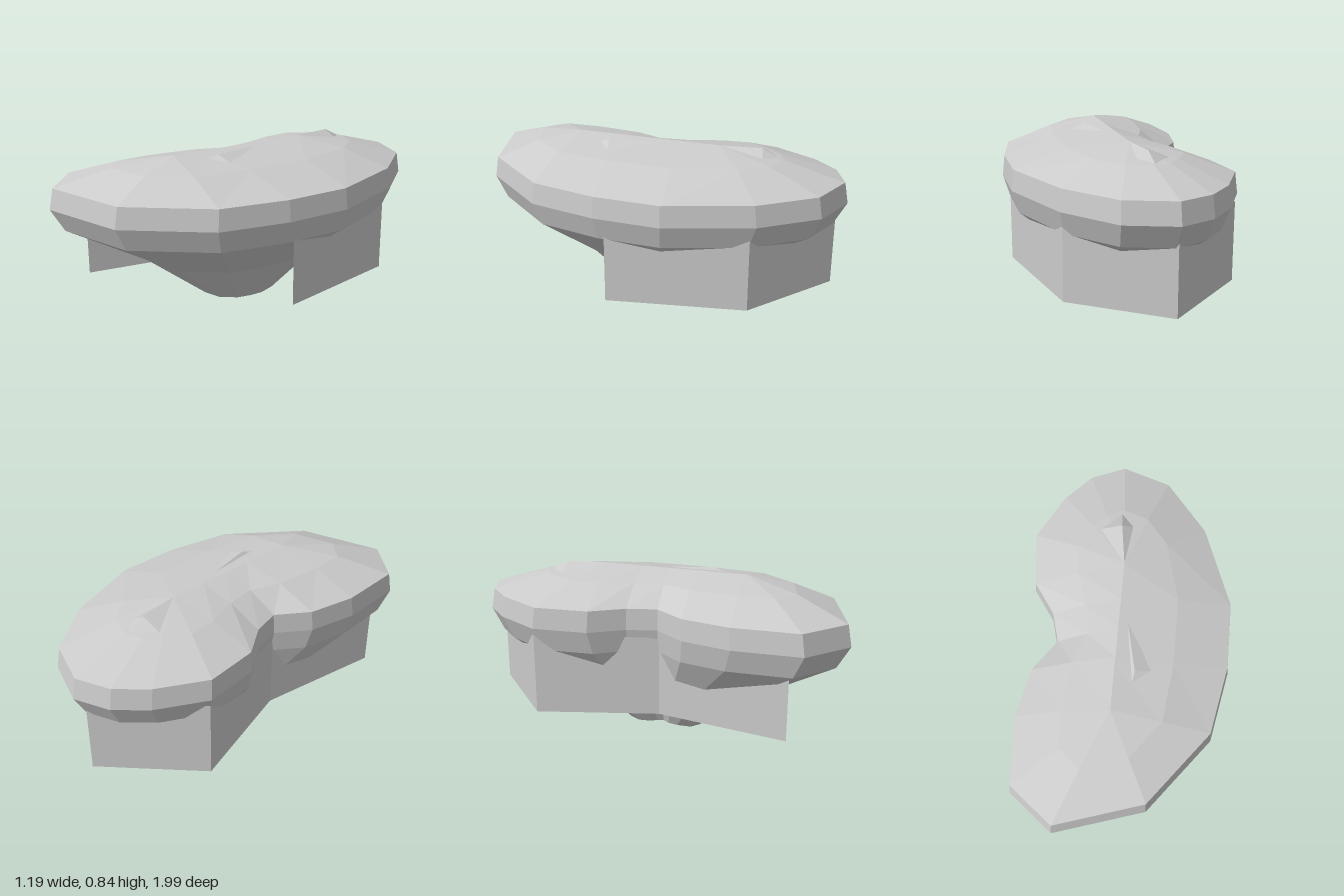
import * as THREE from 'three';

const material = () => new THREE.MeshStandardMaterial({ color: 0xcccccc, flatShading: true });

// Kidney outline as [x, z], running from the back round the +x side
const OUTLINE = [
  [0.07, -1], [0.31, -0.88], [0.49, -0.58], [0.59, -0.13], [0.54, 0.22], [0.42, 0.57],
  [0.07, 0.91], [-0.40, 0.99], [-0.60, 0.78], [-0.57, 0.43], [-0.48, 0.18], [-0.34, 0.03],
  [-0.36, -0.13], [-0.45, -0.31], [-0.44, -0.60], [-0.27, -0.83], [-0.12, -0.95],
];

// Outline scaled and shifted at a given height
const ring = (y, s, dx = 0, dz = 0) =>
  OUTLINE.map(([x, z]) => new THREE.Vector3(x * s + dx, y, z * s + dz));

// Outline drawn in towards the spine of the dome
const domeRing = (y, t) => OUTLINE.map(([x, z]) => {
  const sz = THREE.MathUtils.clamp(z, -0.33, 0.45);
  const sx = THREE.MathUtils.mapLinear(sz, -0.33, 0.45, 0.03, -0.08);
  return new THREE.Vector3(THREE.MathUtils.lerp(x, sx, t), y, THREE.MathUtils.lerp(z, sz, t));
});

// Flat-shaded mesh from a list of triangles
function triangleMesh(name, triangles, side = THREE.FrontSide) {
  const points = triangles
    .filter(([a, b, c]) => new THREE.Triangle(a, b, c).getArea() > 1e-6)
    .flat();
  const geometry = new THREE.BufferGeometry().setFromPoints(points);
  geometry.computeVertexNormals();
  const mesh = new THREE.Mesh(geometry, material());
  mesh.material.side = side;
  mesh.name = name;
  return mesh;
}

// Closed body lofted from the foot to the spine
function createBody() {
  const rings = [
    ring(0, 0.212, -0.045, 0.01),
    ring(0.235, 0.52, -0.04),
    ring(0.47, 0.935),
    ring(0.59, 1),
    ring(0.70, 0.98),
    domeRing(0.79, 0.5),
    domeRing(0.84, 1),
  ];
  const triangles = [];
  const n = OUTLINE.length;
  const footCentre = new THREE.Vector3(-0.03, 0, 0.01);
  for (let i = 0; i < n; i++) {
    const j = (i + 1) % n;
    triangles.push([footCentre, rings[0][i], rings[0][j]]);
    for (let k = 0; k < rings.length - 1; k++) {
      const lower = rings[k], upper = rings[k + 1];
      triangles.push([lower[i], upper[i], lower[j]], [lower[j], upper[i], upper[j]]);
    }
  }
  return triangleMesh('body', triangles);
}

// Thin open wall hanging under the rim
function createSkirt() {
  const path = [
    [0.515, 0.17], [0.47, -0.55], [0.055, -0.945],
    [-0.43, -0.60], [-0.33, 0.035], [-0.53, 0.71],
  ];
  const at = ([x, z], y) => new THREE.Vector3(x, y, z);
  const triangles = [];
  for (let i = 0; i < path.length - 1; i++) {
    const a = at(path[i], 0.13), b = at(path[i + 1], 0.13);
    const c = at(path[i], 0.55), d = at(path[i + 1], 0.55);
    triangles.push([a, b, c], [b, d, c]);
  }
  return triangleMesh('skirt', triangles, THREE.DoubleSide);
}

// Small raised fold on the dome: a fan of corners round a peak
function createFold(name, peak, corners) {
  const p = new THREE.Vector3(...peak);
  const c = corners.map((v) => new THREE.Vector3(...v));
  const triangles = c.map((v, i) => [p, v, c[(i + 1) % c.length]]);
  return triangleMesh(name, triangles, THREE.DoubleSide);
}

export function createModel() {
  const group = new THREE.Group();
  group.name = 'kidneyShapedBowl';
  group.add(
    createBody(),
    createSkirt(),
    createFold('backFold', [0.03, 0.84, -0.55],
      [[0.03, 0.84, -0.33], [-0.1, 0.79, -0.56], [0.04, 0.77, -0.69], [0.11, 0.79, -0.56]]),
    createFold('frontFold', [0.05, 0.838, 0.26],
      [[0.03, 0.835, 0], [0.03, 0.82, 0.32], [0.14, 0.805, 0.25]]),
  );
  return group;
}
